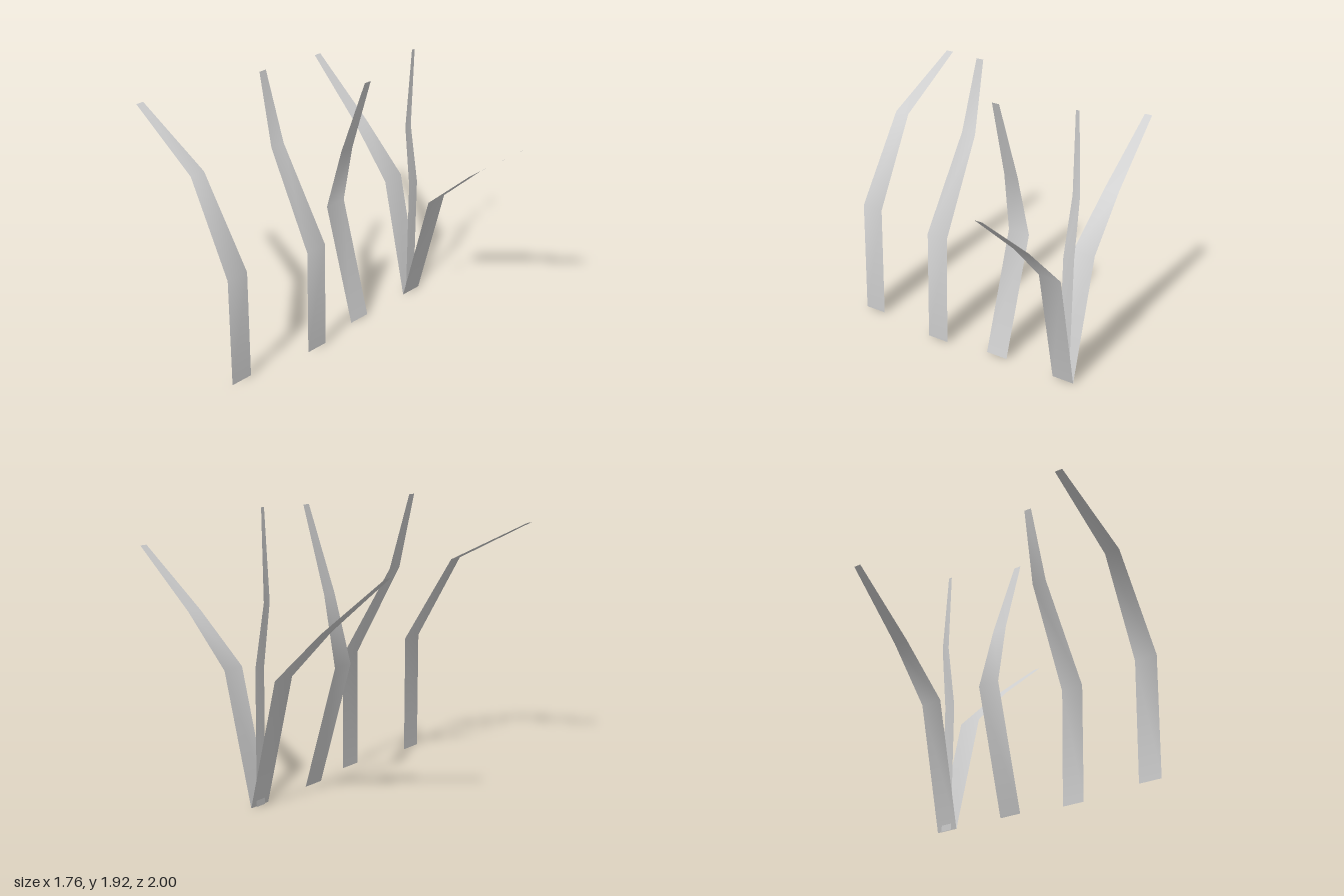
import * as THREE from 'three';

const material = new THREE.MeshStandardMaterial({ color: 0xcccccc, side: THREE.DoubleSide });

// A flat tapering ribbon; each section is [y, z, half width]
function makeBlade(name, x, sections) {
  const positions = [];
  const index = [];
  sections.forEach(([y, z, half], i) => {
    positions.push(-half, y, z, half, y, z);
    if (i > 0) {
      const a = 2 * (i - 1);
      index.push(a, a + 1, a + 3, a, a + 3, a + 2);
    }
  });
  const geometry = new THREE.BufferGeometry();
  geometry.setAttribute('position', new THREE.Float32BufferAttribute(positions, 3));
  geometry.setIndex(index);
  geometry.computeVertexNormals();
  const blade = new THREE.Mesh(geometry, material);
  blade.name = name;
  blade.position.x = x;
  return blade;
}

export function createModel() {
  const group = new THREE.Group();
  group.name = 'grassBlades';

  // Three single blades, each bent differently
  group.add(makeBlade('drooping blade', -0.805,
    [[0, -0.02, 0.08], [0.82, -0.02, 0.08], [1.42, -0.38, 0.053], [1.715, -0.955, 0.027]]));
  group.add(makeBlade('upright blade', -0.19,
    [[0, 0.052, 0.08], [0.8, 0.052, 0.08], [1.43, -0.315, 0.053], [1.92, -0.445, 0.027]]));
  group.add(makeBlade('kinked blade', 0.27,
    [[0, 0, 0.08], [0.845, -0.25, 0.08], [1.3, -0.14, 0.052], [1.86, 0.05, 0.027]]));

  // Tuft: two mirrored arching blades with a narrow stalk between them
  for (const side of [1, -1]) {
    group.add(makeBlade(side > 0 ? 'front tuft blade' : 'back tuft blade', 0.8,
      [[0, 0, 0.08], [0.86, 0.21 * side, 0.08], [1.19, 0.545 * side, 0.053], [1.57, side, 0.027]]));
  }
  group.add(makeBlade('tuft stalk', 0.8,
    [[0, -0.01, 0.04], [0.9, -0.015, 0.04], [1.32, -0.08, 0.027], [1.9, -0.055, 0.013]]));

  return group;
}
